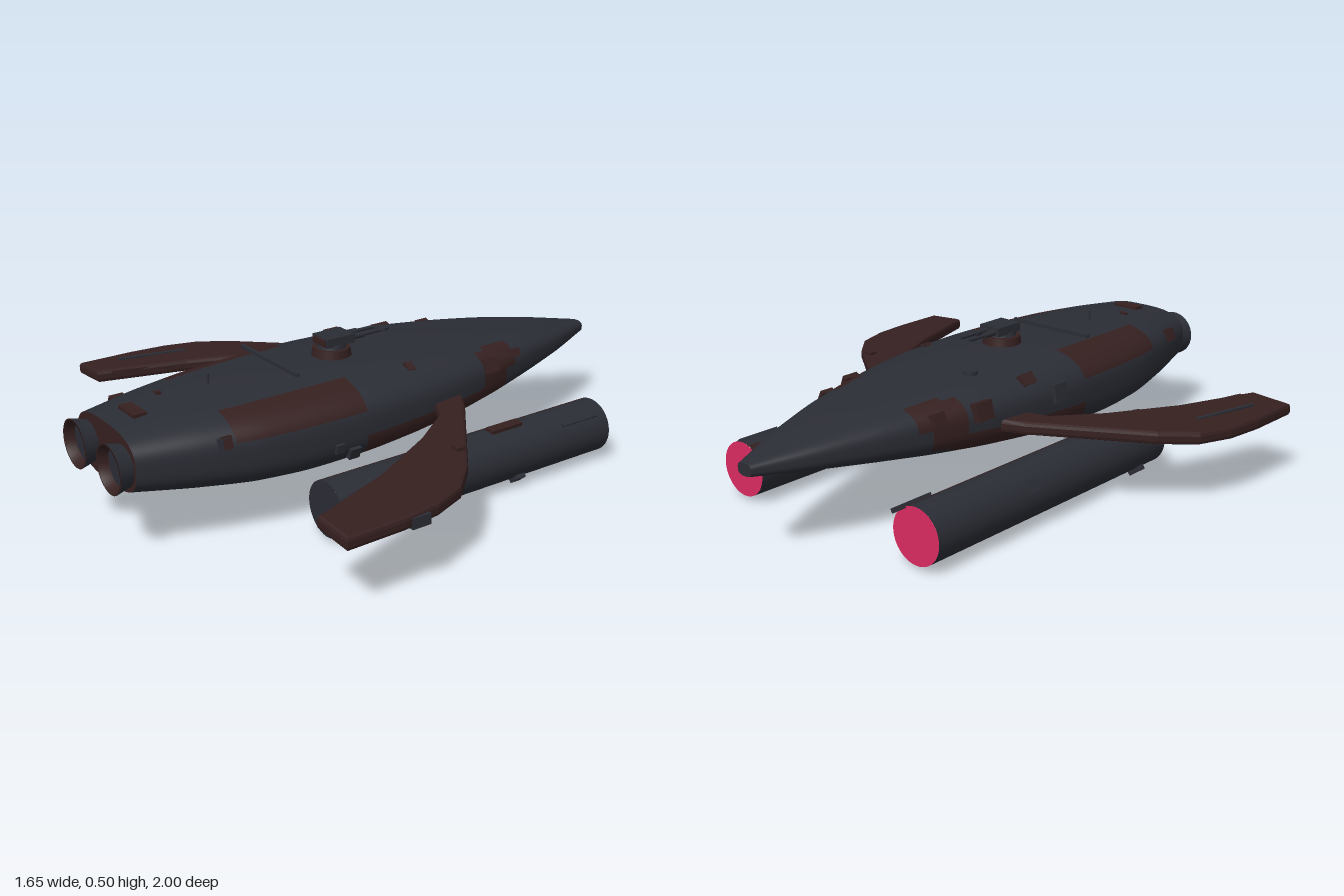
import * as THREE from 'three';

const paint = (name, color) => Object.assign(new THREE.MeshStandardMaterial({ color }), { name });

export function createModel() {
  const grey = paint('charcoal grey', 0x2b2d35);
  const brown = paint('rust brown', 0x362020);
  const red = paint('crimson', 0xdc2b62);
  const model = new THREE.Group();
  model.name = 'spaceship';

  const add = (name, geometry, material, x = 0, y = 0, z = 0, parent = model) => {
    const m = new THREE.Mesh(geometry, material);
    m.name = name;
    m.position.set(x, y, z);
    parent.add(m);
    return m;
  };
  const box = (name, mat, w, h, d, x, y, z, parent) =>
    add(name, new THREE.BoxGeometry(w, h, d), mat, x, y, z, parent);
  const tubeZ = (r1, r2, len, open = false, start = 0, sweep = Math.PI * 2) =>
    new THREE.CylinderGeometry(r1, r2, len, 40, 1, open, start, sweep).rotateX(Math.PI / 2);
  const latheZ = points =>
    new THREE.LatheGeometry(points.map(p => new THREE.Vector2(...p)), 40).rotateX(Math.PI / 2);

  // Hull: half width, top and bottom at even steps from nose to stern
  const Z0 = -1, Z1 = 0.95;
  const spine = new THREE.CatmullRomCurve3([
    [0.03, 0.325, 0.285], [0.115, 0.36, 0.26], [0.182, 0.389, 0.235], [0.237, 0.41, 0.21],
    [0.28, 0.425, 0.189], [0.303, 0.434, 0.17], [0.311, 0.438, 0.156], [0.305, 0.436, 0.15],
    [0.287, 0.43, 0.158], [0.245, 0.42, 0.18], [0.19, 0.404, 0.208],
  ].map(p => new THREE.Vector3(...p)));
  const hullPoint = (z, a) => {
    const s = spine.getPoint((z - Z0) / (Z1 - Z0));
    const bend = v => Math.sign(v) * Math.pow(Math.abs(v), 0.68);
    return new THREE.Vector3(s.x * bend(Math.cos(a)),
      (s.y + s.z) / 2 + (s.y - s.z) / 2 * bend(Math.sin(a)), z);
  };

  // Camouflage areas: z from, z to, elevation from, elevation to (degrees)
  const patches = [
    [0.2, 0.65, 15, 62], [-0.5, -0.45, 5, 56], [-0.45, -0.38, -25, 58], [-0.38, -0.33, -45, 50],
    [-0.33, 0.2, -45, -3], [-0.1, 0.45, -90, -45], [0.7, 0.9, -90, -55],
  ];
  const RINGS = 78, SIDES = 96;
  const pos = [], plain = [], camo = [];
  for (let i = 0; i <= RINGS; i++)
    for (let j = 0; j < SIDES; j++)
      pos.push(...hullPoint(Z0 + (Z1 - Z0) * i / RINGS, j / SIDES * Math.PI * 2).toArray());
  for (let i = 0; i < RINGS; i++) {
    for (let j = 0; j < SIDES; j++) {
      const z = Z0 + (Z1 - Z0) * (i + 0.5) / RINGS;
      const e = Math.asin(Math.sin((j + 0.5) / SIDES * Math.PI * 2)) * 180 / Math.PI;
      const k = (j + 1) % SIDES;
      const a = i * SIDES + j, b = i * SIDES + k, c = b + SIDES, d = a + SIDES;
      const inside = patches.some(p => z > p[0] && z < p[1] && e > p[2] && e < p[3]);
      (inside ? camo : plain).push(a, b, c, a, c, d);
    }
  }
  const hull = new THREE.BufferGeometry();
  hull.setAttribute('position', new THREE.Float32BufferAttribute(pos, 3));
  hull.setIndex([...plain, ...camo]);
  hull.addGroup(0, plain.length, 0);
  hull.addGroup(plain.length, camo.length, 1);
  hull.computeVertexNormals();
  add('hull', hull, [grey, brown]);

  // Flat ends of the hull
  const endShape = z => new THREE.ShapeGeometry(new THREE.Shape(
    Array.from({ length: SIDES }, (_, j) => {
      const p = hullPoint(z, j / SIDES * Math.PI * 2);
      return new THREE.Vector2(p.x, p.y);
    })));
  add('sternPlate', endShape(Z1), brown, 0, 0, Z1);
  add('noseCap', endShape(Z0).rotateY(Math.PI), grey, 0, 0, Z0);

  for (const s of [1, -1]) {
    const side = s > 0 ? 'left' : 'right';

    // Engine bell with a painted rim, open to the rear
    const engine = new THREE.Group();
    engine.name = side + 'Engine';
    engine.position.set(s * 0.114, 0.302, 0);
    model.add(engine);
    add('engineBell', latheZ([[0.062, 0.92], [0.066, 0.95], [0.08, 1]]), grey, 0, 0, 0, engine);
    add('engineRim', latheZ([[0.08, 1], [0.072, 1], [0.068, 0.965]]), brown, 0, 0, 0, engine);
    add('engineDisc', new THREE.CircleGeometry(0.069, 40), grey, 0, 0, 0.966, engine);

    // Pod with a painted upper inner quarter
    const pod = new THREE.Group();
    pod.name = side + 'Pod';
    pod.position.set(s * 0.39, 0.112, -0.14);
    model.add(pod);
    const deg = Math.PI / 180;
    const from = (s > 0 ? 198 : 90) * deg, sweep = 72 * deg;
    add('podPaintedSide', tubeZ(0.093, 0.093, 1.12, true, from, sweep), brown, 0, 0, 0, pod);
    add('podBody', tubeZ(0.093, 0.093, 1.12, true, from + sweep, Math.PI * 2 - sweep), grey, 0, 0, 0, pod);
    add('podRearCap', new THREE.CircleGeometry(0.093, 40), grey, 0, 0, 0.56, pod);
    add('podFrontCap', new THREE.CircleGeometry(0.093, 40).rotateY(Math.PI), red, 0, 0, -0.56, pod);

    // Swept, gently drooping wing
    const outline = [[0.27, -0.2], [0.34, -0.155], [0.665, 0.105], [0.755, 0.205], [0.795, 0.32],
      [0.81, 0.45], [0.813, 0.64], [0.685, 0.64], [0.585, 0.345], [0.465, 0.1], [0.36, -0.06], [0.27, -0.1]];
    const wing = new THREE.ExtrudeGeometry(
      new THREE.Shape(outline.map(([x, z]) => new THREE.Vector2(s * x, -z))),
      { depth: 0.014, bevelThickness: 0.01, bevelSize: 0.01, bevelSegments: 2 }).rotateX(-Math.PI / 2);
    const wp = wing.attributes.position;
    for (let i = 0; i < wp.count; i++)
      wp.setY(i, wp.getY(i) * 1.25 + 0.3 - 0.073 * Math.abs(wp.getX(i)));
    wing.computeVertexNormals();
    add(side + 'Wing', wing, brown);
  }

  // Turret with twin guns
  const turret = new THREE.Group();
  turret.name = 'turret';
  turret.position.set(0, 0.43, 0.125);
  model.add(turret);
  add('turretRing', new THREE.CylinderGeometry(0.062, 0.068, 0.036, 32), brown, 0, 0.016, 0, turret);
  add('turretNeck', new THREE.CylinderGeometry(0.045, 0.05, 0.02, 24), grey, 0, 0.04, 0, turret);
  box('turretHouse', grey, 0.085, 0.03, 0.11, 0, 0.06, -0.01, turret);
  box('turretRearPlate', brown, 0.07, 0.022, 0.008, 0, 0.06, 0.047, turret);
  for (const x of [-0.02, 0.02]) {
    add('gunSleeve', tubeZ(0.01, 0.01, 0.06), grey, x, 0.057, -0.085, turret);
    add('gunBarrel', tubeZ(0.006, 0.006, 0.12), grey, x, 0.057, -0.125, turret);
  }

  // Fittings on the hull: material, z, elevation angle in degrees, width, height, length
  for (const [mat, z, a, w, h, d] of [
    [brown, 0.855, 90, 0.1, 0.02, 0.045], [brown, -0.045, 141, 0.04, 0.02, 0.06],
    [brown, -0.04, 55, 0.035, 0.014, 0.03], [brown, -0.43, 160, 0.04, 0.025, 0.05],
    [brown, -0.36, 20, 0.05, 0.02, 0.06], [brown, -0.5, 25, 0.03, 0.015, 0.05],
    [brown, 0.8, 160, 0.045, 0.02, 0.05], [brown, 0.68, 18, 0.04, 0.02, 0.03],
    [grey, 0.06, 170, 0.06, 0.02, 0.06], [grey, 0.69, 14, 0.05, 0.02, 0.035],
    [brown, -0.82, -80, 0.04, 0.025, 0.07], [grey, 0.25, -20, 0.04, 0.025, 0.04],
    [brown, -0.27, 165, 0.06, 0.03, 0.07], [brown, 0.735, 98, 0.025, 0.015, 0.015],
    [grey, 0.31, -8, 0.03, 0.02, 0.03],
  ]) {
    const p = hullPoint(z, a * Math.PI / 180);
    box('hullFitting', mat, w, h, d, p.x, p.y, p.z).rotation.z = (a - 90) * Math.PI / 180;
  }
  box('topBar', grey, 0.33, 0.012, 0.012, -0.04, 0.449, 0.34);
  box('bellyBar', grey, 0.2, 0.014, 0.014, 0.04, 0.142, 0.3);
  box('bellyBox', grey, 0.08, 0.02, 0.11, 0.04, 0.16, 0.53);
  add('topDome', new THREE.CylinderGeometry(0.024, 0.026, 0.03, 20), grey, -0.125, 0.418, -0.175);
  add('mast', new THREE.CylinderGeometry(0.004, 0.004, 0.04, 8), grey, -0.03, 0.44, 0.575);
  add('smallMast', new THREE.CylinderGeometry(0.007, 0.007, 0.03, 10), grey, 0.205, 0.41, -0.05);

  // Fittings around the pods: side, material, angle, z, width, height, length
  for (const [s, mat, a, z, w, h, d] of [
    [1, brown, 85, -0.29, 0.035, 0.016, 0.13], [1, grey, 40, 0.21, 0.05, 0.025, 0.04],
    [1, grey, 62, 0.18, 0.03, 0.02, 0.03], [1, brown, -80, 0.16, 0.04, 0.02, 0.03],
    [1, brown, -65, 0.1, 0.04, 0.02, 0.03], [1, grey, -50, -0.31, 0.04, 0.02, 0.04],
    [1, grey, 45, -0.58, 0.012, 0.012, 0.16], [-1, grey, 150, -0.275, 0.04, 0.025, 0.04],
    [-1, grey, 235, 0.31, 0.05, 0.025, 0.03], [-1, grey, 62, -0.67, 0.008, 0.015, 0.16],
  ]) {
    const t = a * Math.PI / 180;
    box('podFitting', mat, w, h, d, s * 0.39 + 0.095 * Math.cos(t), 0.112 + 0.095 * Math.sin(t), z)
      .rotation.z = t - Math.PI / 2;
  }

  // Fittings on the wings
  box('wingRail', grey, 0.012, 0.014, 0.25, -0.72, 0.276, 0.41).rotation.y = -0.24;
  box('wingEdgeRail', brown, 0.014, 0.02, 0.17, -0.64, 0.268, 0.52).rotation.y = -0.27;
  box('wingTipBox', grey, 0.025, 0.035, 0.065, 0.808, 0.242, 0.39);
  box('wingTopBox', brown, 0.03, 0.02, 0.03, 0.58, 0.288, 0.06);

  return model;
}
